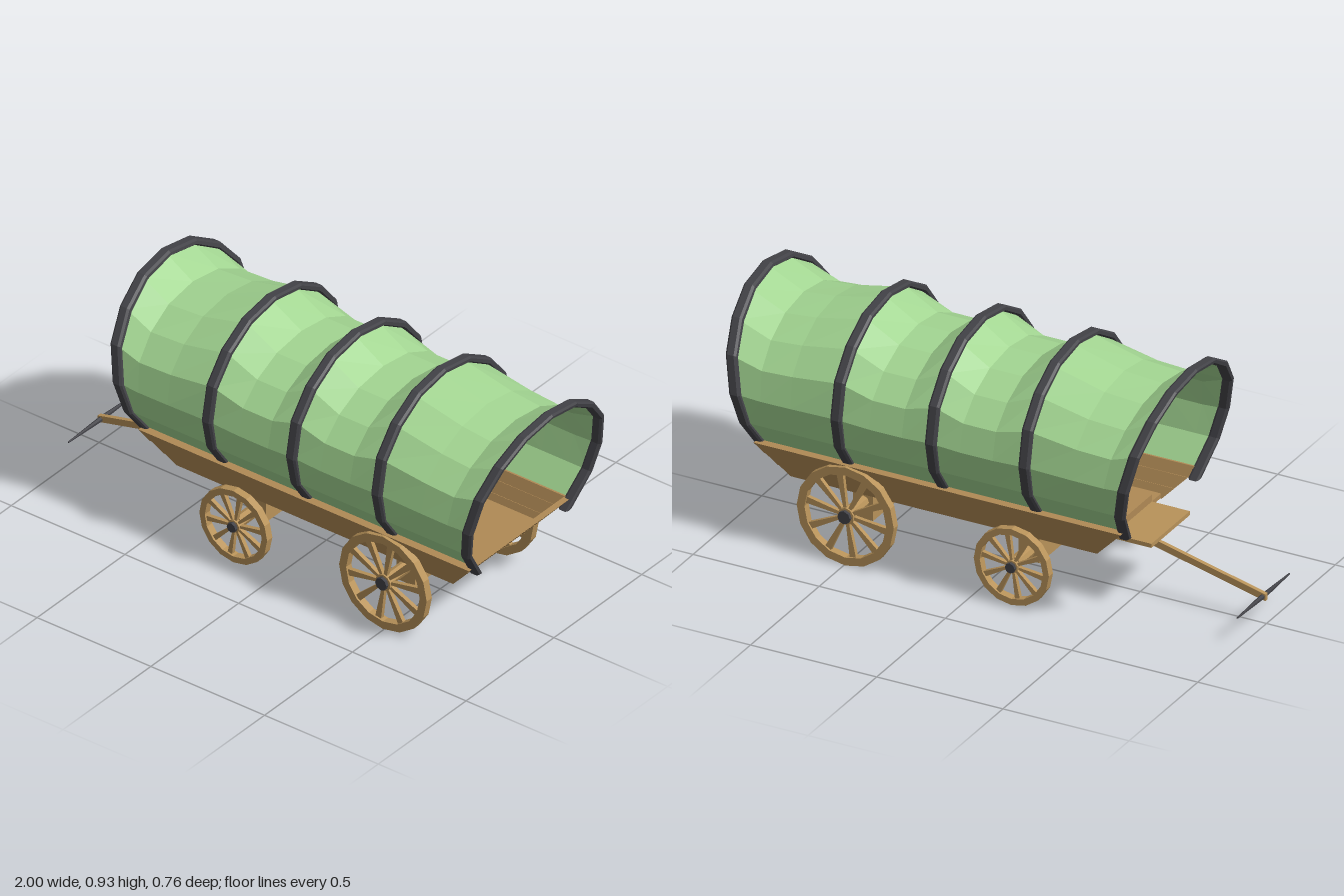
import * as THREE from 'three';

const mat = (name, color) => new THREE.MeshStandardMaterial({ name, color, flatShading: true });

// half profile of the cover, from the crown down to the wagon rail: [z, y]
const COVER = [[0, 0.912], [0.14, 0.888], [0.252, 0.82], [0.334, 0.72], [0.36, 0.588], [0.34, 0.475], [0.268, 0.375]];
const OUTER = [[0, 0.93], [0.145, 0.906], [0.265, 0.835], [0.35, 0.73], [0.378, 0.592], [0.352, 0.47], [0.265, 0.345]];
const INNER = [[0, 0.908], [0.136, 0.884], [0.247, 0.816], [0.33, 0.717], [0.355, 0.59], [0.333, 0.48], [0.238, 0.345]];
const arch = half => [...half.slice(1).reverse().map(([z, y]) => [-z, y]), ...half];

export function createModel() {
  const model = new THREE.Group();
  const wood = mat('frame wood', 0xb9935a);
  const boards = mat('body wood', 0xb08a55);
  const iron = mat('dark iron', 0x424247);
  const cloth = mat('green cloth', 0xa3d692);
  cloth.side = THREE.DoubleSide;

  const add = (name, geo, material, parent = model) => {
    const m = new THREE.Mesh(geo, material);
    m.name = name;
    parent.add(m);
    return m;
  };
  const box = (name, x0, x1, y0, y1, z0, z1, material = wood) => {
    const m = add(name, new THREE.BoxGeometry(x1 - x0, y1 - y0, z1 - z0), material);
    m.position.set((x0 + x1) / 2, (y0 + y1) / 2, (z0 + z1) / 2);
    return m;
  };
  const warp = (geo, rule) => {
    const p = geo.attributes.position;
    for (let i = 0; i < p.count; i++) p.setXYZ(i, ...rule(p.getX(i), p.getY(i), p.getZ(i)));
    geo.computeVertexNormals();
    return geo;
  };

  // flared wagon body: its outline at height y
  const t = y => (y - 0.255) / 0.13;
  const frontX = y => -0.465 - 0.125 * t(y);
  const rearX = y => 0.75 + 0.115 * t(y);
  const sideZ = y => 0.25 + 0.05 * t(y);
  box('floor', -0.46, 0.745, 0.255, 0.272, -0.225, 0.225, boards);
  const rows = [[0.255, 0.298, 0], [0.299, 0.344, 0.004], [0.345, 0.385, 0.008]];
  for (const side of [-1, 1]) {
    for (const [y0, y1, out] of rows) {
      add('sidePlank', warp(new THREE.BoxGeometry(2, 2, 2), (x, y, z) => {
        const h = y < 0 ? y0 : y1;
        return [x < 0 ? frontX(h) : rearX(h), h, side * (sideZ(h) + (z * side > 0 ? out : -0.032))];
      }), boards);
    }
  }
  // tailboard slats with open gaps
  for (const [y0, y1] of [[0.255, 0.29], [0.306, 0.341], [0.35, 0.382]]) {
    add('tailSlat', warp(new THREE.BoxGeometry(2, 2, 2), (x, y, z) => {
      const h = y < 0 ? y0 : y1;
      return [rearX(h) - (x < 0 ? 0.025 : 0), h, z * (sideZ(h) - 0.03)];
    }), boards);
  }
  // open front with footboard
  box('footboard', -0.62, -0.42, 0.266, 0.282, -0.14, 0.14);
  box('footboardRiser', -0.47, -0.44, 0.272, 0.31, -0.14, 0.14, boards);

  // cloth cover: base x, lean at the crown, height factor
  const sections = [
    [-0.585, -0.12, 1], [-0.52, -0.08, 0.8], [-0.41, -0.03, 0.83], [-0.24, 0, 0.98],
    [-0.11, 0, 0.77], [0.02, 0, 0.77], [0.13, 0, 0.98], [0.25, 0, 0.77], [0.38, 0, 0.77],
    [0.505, 0, 0.98], [0.68, 0.03, 0.85], [0.79, 0.05, 0.81], [0.86, 0.115, 1],
  ];
  const profile = arch(COVER), n = profile.length;
  const pos = [], idx = [];
  sections.forEach(([x, lean, k], s) => {
    for (const [z, y] of profile) {
      const h = y > 0.56 ? 0.56 + (y - 0.56) * k : y;
      pos.push(x + lean * (h - 0.38) / 0.54, h, z);
    }
    if (s) for (let j = 0; j < n - 1; j++) {
      const a = (s - 1) * n + j, b = a + n;
      idx.push(a, a + 1, b, b, a + 1, b + 1);
    }
  });
  const cover = new THREE.BufferGeometry();
  cover.setAttribute('position', new THREE.Float32BufferAttribute(pos, 3));
  cover.setIndex(idx);
  cover.computeVertexNormals();
  add('clothCover', cover, cloth);

  // hoops, the end ones leaning outward
  const ring = [...arch(OUTER), ...arch(INNER).reverse()].map(([z, y]) => new THREE.Vector2(z, y));
  for (const [x0, lean] of [[-0.585, -0.12], [-0.24, 0], [0.13, 0], [0.505, 0], [0.86, 0.115]]) {
    const geo = new THREE.ExtrudeGeometry(new THREE.Shape(ring), {
      depth: 0.026, bevelEnabled: true, bevelSize: 0.006, bevelOffset: -0.006, bevelThickness: 0.008, bevelSegments: 1,
    });
    geo.translate(0, 0, -0.013).rotateY(Math.PI / 2);
    add('hoop', warp(geo, (x, y, z) => [x + x0 + lean * (y - 0.38) / 0.54, y, z]), iron);
  }

  // spoked wheels
  const wheel = (name, x, y, r, side) => {
    const g = new THREE.Group();
    g.name = name;
    g.position.set(x, y, side * 0.305);
    const poly = rad => Array.from({ length: 16 }, (_, i) =>
      new THREE.Vector2(Math.cos(i * Math.PI / 8) * rad, Math.sin(i * Math.PI / 8) * rad));
    const rim = new THREE.Shape(poly(r));
    rim.holes.push(new THREE.Path(poly(r * 0.84)));
    add('rim', new THREE.ExtrudeGeometry(rim, { depth: 0.03, bevelEnabled: false }).translate(0, 0, -0.015), wood, g);
    for (let i = 0; i < 10; i++) {
      const spoke = warp(new THREE.BoxGeometry(2, 2, 0.016), (a, b, c) =>
        [a < 0 ? r * 0.1 : r * 0.87, b * r * (a < 0 ? 0.03 : 0.068), c]);
      add('spoke', spoke, wood, g).rotation.z = i * Math.PI / 5 + 0.15;
    }
    add('hub', new THREE.CylinderGeometry(r * 0.17, r * 0.17, 0.028, 10).rotateX(Math.PI / 2), wood, g);
    add('hubCap', new THREE.CylinderGeometry(r * 0.13, r * 0.13, 0.03, 8).rotateX(Math.PI / 2), iron, g)
      .position.z = side * 0.012;
    model.add(g);
  };
  for (const side of [-1, 1]) {
    wheel('rearWheel', 0.495, 0.1925, 0.1925, side);
    wheel('frontWheel', -0.163, 0.159, 0.149, side);
  }

  // axles, bolsters and reach beam
  for (const [name, x, y] of [['rearAxle', 0.495, 0.1925], ['frontAxle', -0.163, 0.165]]) {
    add(name, new THREE.CylinderGeometry(0.024, 0.024, 0.6, 8).rotateX(Math.PI / 2), wood).position.set(x, y, 0);
  }
  box('rearAxleBeam', 0.455, 0.535, 0.125, 0.232, -0.19, 0.19);
  box('frontAxleBeam', -0.205, -0.12, 0.125, 0.225, -0.19, 0.19);
  box('rearBolster', 0.455, 0.535, 0.232, 0.256, -0.035, 0.035);
  box('frontBolster', -0.205, -0.12, 0.2, 0.256, -0.06, 0.06);
  box('reachBeam', -0.19, 0.5, 0.185, 0.245, -0.03, 0.03).rotation.z = -0.05;

  // drawbar with cross handle
  box('drawbarMount', -0.47, -0.405, 0.215, 0.258, -0.035, 0.035);
  add('drawbar', warp(new THREE.BoxGeometry(2, 2, 0.016), (x, y, z) =>
    [x < 0 ? -1 : -0.42, (x < 0 ? 0.104 : 0.244) + y * 0.013, z]), wood);
  for (const side of [-1, 1]) {
    const half = new THREE.CylinderGeometry(0.003, 0.01, 0.19, 6).rotateX(side * Math.PI / 2);
    add('handle', half, iron).position.set(-0.988, 0.106, side * 0.095);
  }
  return model;
}
